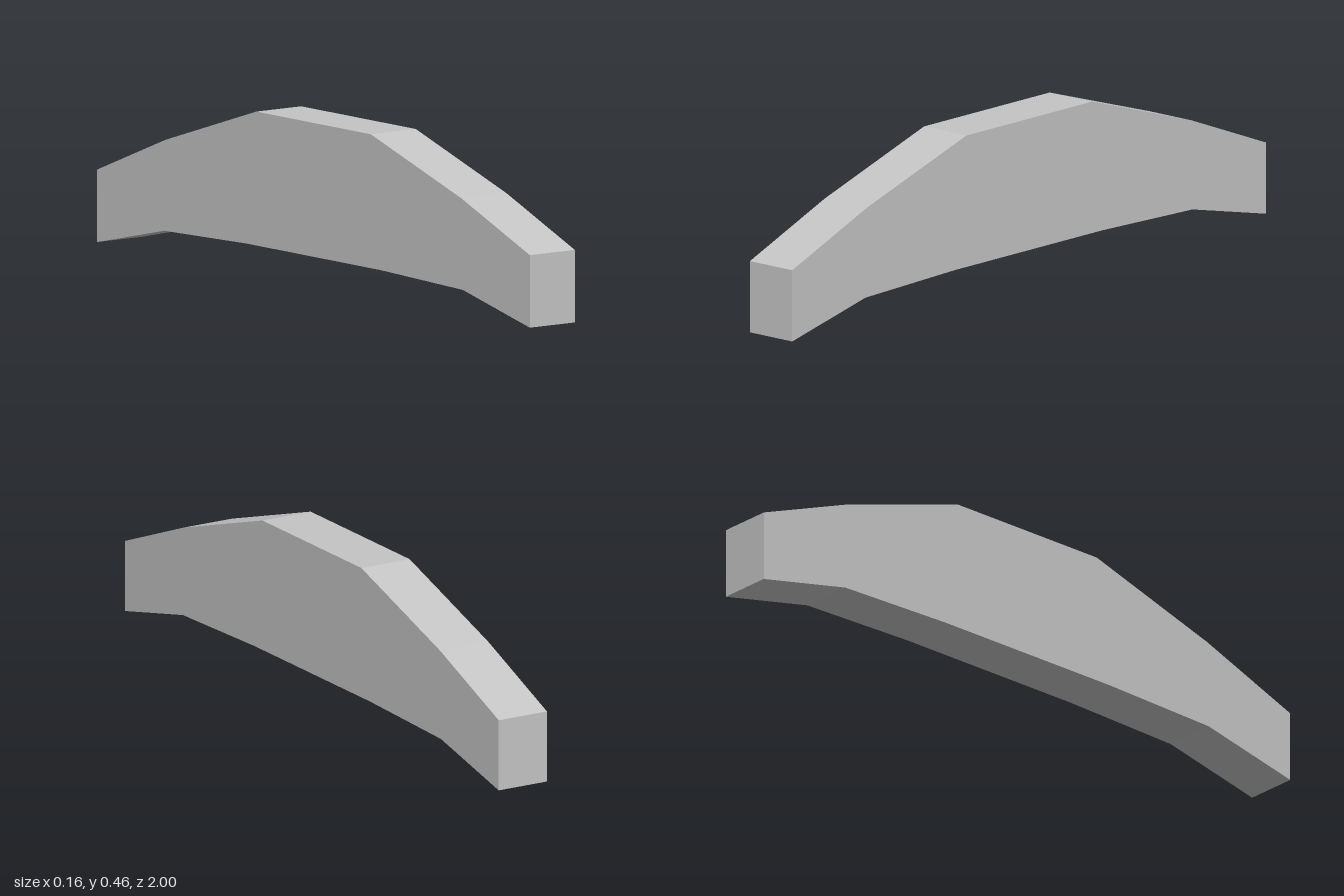
import * as THREE from 'three';

export function createModel() {
  const group = new THREE.Group();
  const lightGrey = new THREE.MeshStandardMaterial({ color: 0xc4c4c4 });
  lightGrey.name = 'lightGrey';

  // Half of the beam's side profile, from the lower middle round to the upper middle
  const half = [[0.31, 0.08], [0.69, 0.07], [1, 0], [1, 0.207], [0.685, 0.33], [0.265, 0.462]];
  const mirrored = half.map(([z, y]) => [-z, y]).reverse();
  const outline = [...half, ...mirrored].map(([z, y]) => new THREE.Vector2(z, y));

  // Arched beam: the profile extruded across the width, its length turned along z
  const width = 0.16;
  const geometry = new THREE.ExtrudeGeometry(new THREE.Shape(outline), {
    depth: width,
    bevelEnabled: false,
  });
  geometry.translate(0, 0, -width / 2);
  geometry.rotateY(Math.PI / 2);

  const beam = new THREE.Mesh(geometry, lightGrey);
  beam.name = 'archedBeam';
  group.add(beam);
  return group;
}
